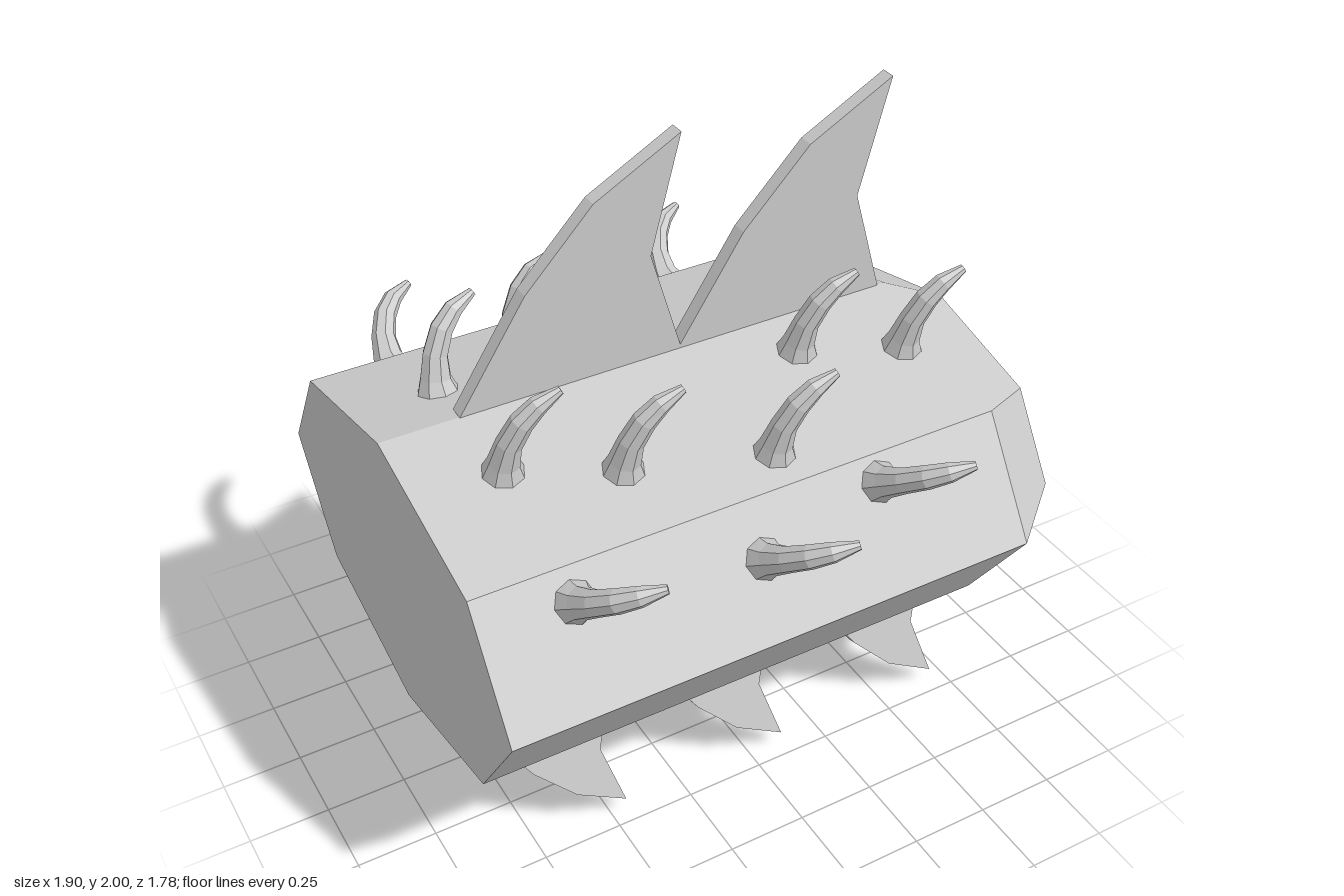
import * as THREE from 'three';

const material = new THREE.MeshStandardMaterial({ color: 0xcccccc, flatShading: true });

// Skin a list of closed rings (arrays of Vector3) and cap both ends
function loft(rings) {
  const n = rings[0].length;
  const pos = [];
  const tri = (...pts) => pts.forEach((p) => pos.push(p.x, p.y, p.z));
  const centre = (ring) => ring.reduce((s, p) => s.add(p), new THREE.Vector3()).divideScalar(n);
  const first = rings[0], last = rings[rings.length - 1];
  const c0 = centre(first), c1 = centre(last);
  for (let i = 0; i < n; i++) {
    const j = (i + 1) % n;
    for (let k = 0; k < rings.length - 1; k++) {
      const a = rings[k], b = rings[k + 1];
      tri(a[i], a[j], b[j]);
      tri(a[i], b[j], b[i]);
    }
    tri(c0, first[j], first[i]);
    tri(c1, last[i], last[j]);
  }
  const geo = new THREE.BufferGeometry();
  geo.setAttribute('position', new THREE.Float32BufferAttribute(pos, 3));
  geo.computeVertexNormals();
  return geo;
}

// Octagonal body section in (y, z), tapered at the +x end
const MID = 0.825;
const SECTION = [[0.475, 0], [0.34, 0.565], [0, 0.79], [-0.34, 0.56],
  [-0.48, 0], [-0.34, -0.56], [0, -0.79], [0.34, -0.565]];
function bodyGeometry() {
  return loft([[-0.95, 1], [0.72, 1], [0.95, 0.75]].map(([x, s]) =>
    SECTION.map(([y, z]) => new THREE.Vector3(x, MID + y * s, z * s))));
}

// Curved horn growing along +y and bending toward +x; rows are x, y, radius
function hornGeometry() {
  const path = [[0, -0.01, 0.066], [0, 0.04, 0.047], [0.012, 0.11, 0.038],
    [0.045, 0.18, 0.035], [0.09, 0.228, 0.029], [0.155, 0.262, 0.013]];
  return loft(path.map(([x, y, r], k) => {
    const p = path[Math.max(k - 1, 0)], q = path[Math.min(k + 1, path.length - 1)];
    const t = new THREE.Vector2(q[0] - p[0], q[1] - p[1]).normalize();
    return Array.from({ length: 8 }, (_, i) => {
      const a = (i / 8) * Math.PI * 2;
      const s = Math.sin(a) * r;
      return new THREE.Vector3(x + t.y * s, y - t.x * s, Math.cos(a) * r);
    });
  }));
}

// Swept fin plate with its rear base corner at the origin
function finGeometry(size, dir, thickness) {
  const profile = [[-1.01, 0], [-0.7, 0.47], [-0.39, 0.79], [0, 1], [-0.14, 0.485], [0, 0]];
  const shape = new THREE.Shape(profile.map(([x, y]) => new THREE.Vector2(x * size, y * size * dir)));
  const geo = new THREE.ExtrudeGeometry(shape, { depth: thickness, bevelEnabled: false });
  return geo.translate(0, 0, -thickness / 2);
}

export function createModel() {
  const group = new THREE.Group();
  const add = (name, geo, x, y, z, tilt = 0) => {
    const mesh = new THREE.Mesh(geo, material);
    mesh.name = name;
    mesh.position.set(x, y, z);
    mesh.rotation.x = tilt;
    group.add(mesh);
  };

  add('body', bodyGeometry(), 0, 0, 0);

  // Two large fins along the ridge
  const topFin = finGeometry(0.7, 1, 0.048);
  for (const x of [0, 0.695]) add('topFin', topFin, x, 1.3, -0.02);

  // Three rows of small fins underneath, the outer rows splayed
  const lowerFin = finGeometry(0.392, -1, 0.032);
  for (const x of [-0.455, 0.105, 0.685]) {
    add('lowerFinLeft', lowerFin, x, 0.43, 0.34, -0.27);
    add('lowerFinMiddle', lowerFin, x, 0.392, 0.005);
    add('lowerFinRight', lowerFin, x, 0.392, -0.345, 0.27);
  }

  // Horns on the upper and side faces, mirrored: x, y, z, tilt
  const horn = hornGeometry();
  const upper = [[-0.68, 0.22], [-0.375, 0.34], [0.045, 0.45], [0.315, 0.14], [0.62, 0.245]]
    .map(([x, z]) => [x, 1.3 - z * 0.239, z, 0.235]);
  const side = [[-0.67, 0.62], [-0.11, 0.66], [0.3, 0.61]]
    .map(([x, z]) => [x, 1.165 - (z - 0.565) * 1.511, z, 0.986]);
  for (const [x, y, z, tilt] of [...upper, ...side]) {
    for (const s of [1, -1]) add('horn', horn, x, y, z * s, tilt * s);
  }
  return group;
}
